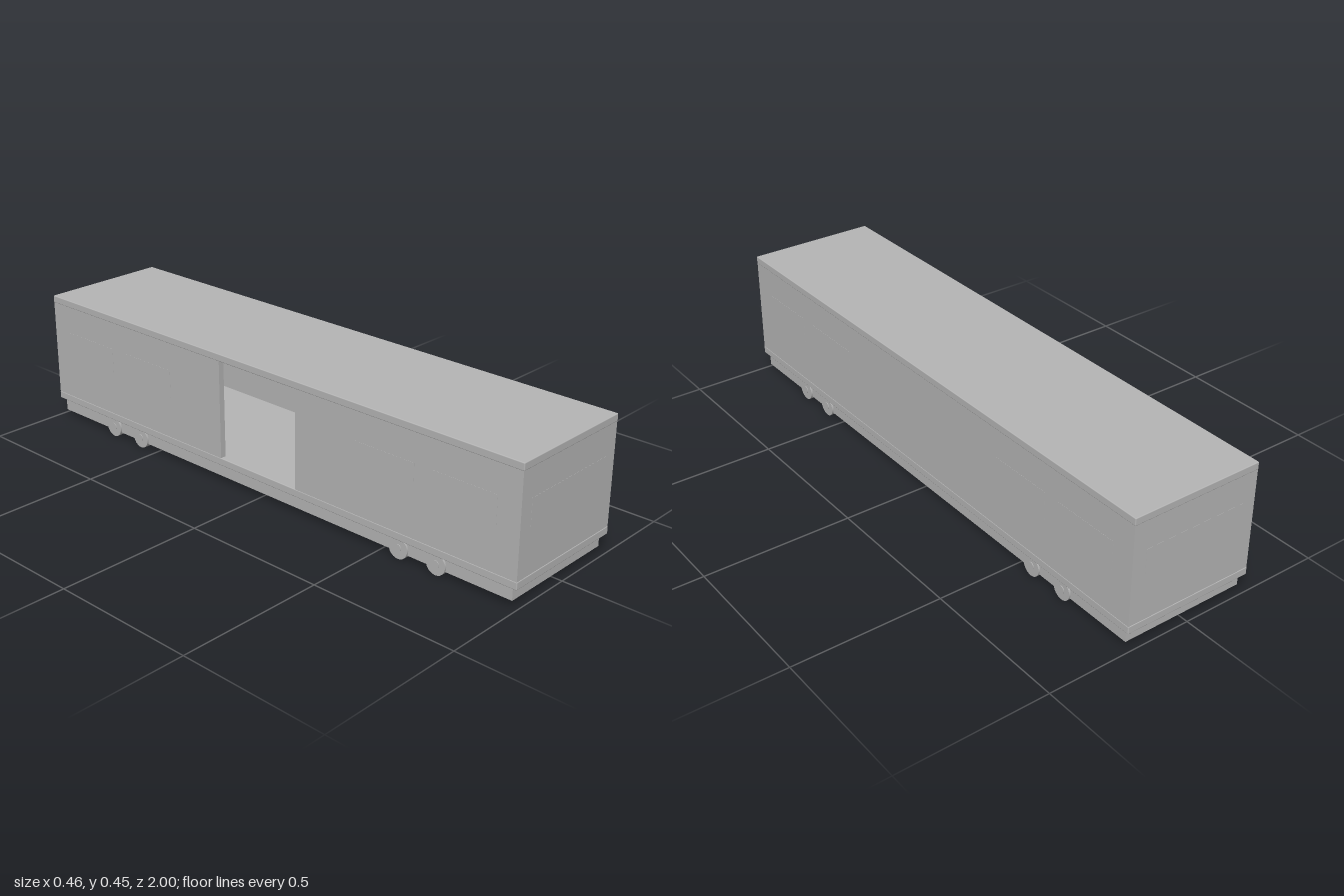
import * as THREE from 'three';
import { RoundedBoxGeometry } from 'three/addons/geometries/RoundedBoxGeometry.js';

export function createModel() {
  const group = new THREE.Group();
  const grey = new THREE.MeshStandardMaterial({ color: 0xb4b4b4 });
  grey.name = 'plainGrey';

  const add = (name, geometry, x, y, z) => {
    const mesh = new THREE.Mesh(geometry, grey);
    mesh.name = name;
    mesh.position.set(x, y, z);
    group.add(mesh);
    return mesh;
  };
  // Box given by its lower and upper bounds
  const box = (name, x0, x1, y0, y1, z0, z1) => add(name,
    new THREE.BoxGeometry(x1 - x0, y1 - y0, z1 - z0),
    (x0 + x1) / 2, (y0 + y1) / 2, (z0 + z1) / 2);

  // Floor and roof slabs with softened edges
  add('floorSlab', new RoundedBoxGeometry(0.455, 0.026, 2, 2, 0.003), 0, 0.077, 0);
  add('roofSlab', new RoundedBoxGeometry(0.455, 0.025, 2, 2, 0.003), 0, 0.4375, 0);

  // Hollow body: the doorway opens on the -x side
  const W = 0.2265, L = 0.9985, T = 0.02, Y0 = 0.088, Y1 = 0.427, door = 0.165;
  box('leftWall', W - T, W, Y0, Y1, -L, L);
  for (const s of [-1, 1]) {
    box('rightWall', -W, -W + T, Y0, Y1, s < 0 ? -L : door, s < 0 ? -door : L);
    box('endWall', -W + T, W - T, Y0, Y1, s < 0 ? -L : L - T, s < 0 ? -L + T : L);
  }

  // Flush window panels on the ends and along both sides
  const P = 0.001;
  for (const s of [-1, 1]) {
    add('endWindow', new THREE.BoxGeometry(0.356, 0.095, P), 0, 0.2825, s * L);
    for (const z of [-0.805, -0.515, 0.515, 0.805]) {
      add('sideWindow', new THREE.BoxGeometry(P, 0.095, 0.23), s * W, 0.2825, z);
    }
  }

  // Underframe
  box('skirt', -0.216, 0.216, 0.02, 0.06, -0.98, 0.98);
  box('underframe', -0.205, 0.205, 0.058, 0.066, -0.97, 0.97);

  // Four wheel pairs with hubs
  const wheel = new THREE.CylinderGeometry(0.035, 0.035, 0.027, 24).rotateZ(Math.PI / 2);
  const hub = new THREE.CylinderGeometry(0.013, 0.013, 0.008, 16).rotateZ(Math.PI / 2);
  for (const z of [-0.71, -0.57, 0.575, 0.715]) {
    for (const s of [-1, 1]) {
      add('wheel', wheel, s * 0.2085, 0.035, z);
      add('hub', hub, s * 0.22, 0.036, z);
    }
  }
  return group;
}
